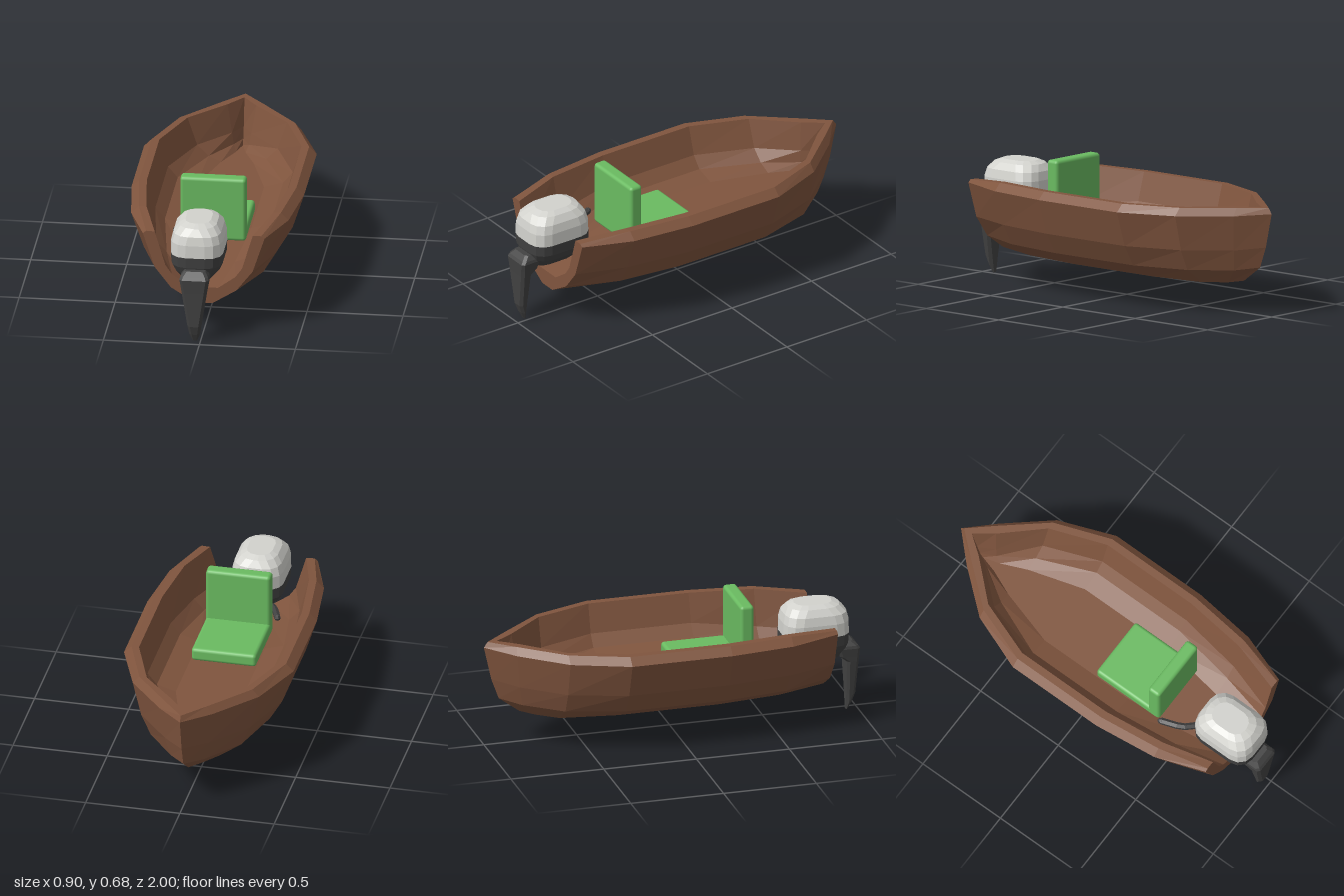
import * as THREE from 'three';
import { RoundedBoxGeometry } from 'three/addons/geometries/RoundedBoxGeometry.js';

const V = (x, y, z) => new THREE.Vector3(x, y, z);

function material(name, color) {
  const m = new THREE.MeshStandardMaterial({ color });
  m.name = name;
  return m;
}

// Faceted skin over closed rings, each counterclockwise seen from the first ring's end
function loft(rings, caps) {
  const pos = [];
  const tri = (...p) => p.forEach(v => pos.push(v.x, v.y, v.z));
  const n = rings[0].length;
  for (let i = 0; i < rings.length - 1; i++) {
    const a = rings[i], b = rings[i + 1];
    for (let j = 0; j < n; j++) {
      const k = (j + 1) % n;
      tri(b[j], b[k], a[j]);
      tri(b[k], a[k], a[j]);
    }
  }
  if (caps) {
    const centre = r => r.reduce((s, p) => s.add(p), V(0, 0, 0)).divideScalar(n);
    const first = rings[0], last = rings[rings.length - 1];
    const c0 = centre(first), c1 = centre(last);
    for (let j = 0; j < n; j++) {
      const k = (j + 1) % n;
      tri(c0, first[j], first[k]);
      tri(c1, last[k], last[j]);
    }
  }
  const g = new THREE.BufferGeometry();
  g.setAttribute('position', new THREE.Float32BufferAttribute(pos, 3));
  g.computeVertexNormals();
  return g;
}

// Horizontal rectangle with rounded corners of the given radius
function roundedRing(y, hx, z0, z1, radius, steps) {
  const cz = (z0 + z1) / 2, hz = (z1 - z0) / 2, r = Math.min(radius, hx * 0.9, hz * 0.9);
  const pts = [];
  [[1, 1], [1, -1], [-1, -1], [-1, 1]].forEach(([sx, sz], q) => {
    for (let i = 0; i <= steps; i++) {
      const t = (q + i / steps) * Math.PI / 2;
      pts.push(V(sx * (hx - r) + r * Math.sin(t), y, cz + sz * (hz - r) + r * Math.cos(t)));
    }
  });
  return pts;
}

export function createModel() {
  const boat = new THREE.Group();
  boat.name = 'motorBoat';
  const wood = material('brown wood', 0x80553e);
  const green = material('green seat', 0x6abb61);
  const white = material('pale cowl', 0xd2d2cd);
  const dark = material('dark metal', 0x424242);

  const add = (name, geometry, mat, parent = boat) => {
    const mesh = new THREE.Mesh(geometry, mat);
    mesh.name = name;
    parent.add(mesh);
    return mesh;
  };

  // Hull half sections: keel edge, chine, side, rim (3 points), inner side, inner chine, floor edge
  const heights = [0.157, 0.235, 0.345, 0.53, 0.57, 0.57, 0.42, 0.36, 0.33];
  const stations = [
    { z: 0.815, x: [0.045, 0.17, 0.255, 0.317, 0.30, 0.255, 0.20, 0.165, 0.075],
      y: [0.157, 0.235, 0.345, 0.533, 0.547, 0.545, 0.36, 0.31, 0.245] },
    { z: 0.55, x: [0.135, 0.28, 0.345, 0.41, 0.37, 0.33, 0.28, 0.225, 0.13],
      y: [0.157, 0.235, 0.345, 0.53, 0.57, 0.57, 0.38, 0.32, 0.282] },
    { z: 0.21, x: [0.175, 0.325, 0.39, 0.45, 0.41, 0.37, 0.325, 0.275, 0.175] },
    { z: -0.33, x: [0.175, 0.325, 0.39, 0.45, 0.41, 0.37, 0.325, 0.275, 0.175] },
    { z: -0.63, x: [0.13, 0.24, 0.29, 0.335, 0.30, 0.26, 0.21, 0.15, 0.085] },
    { z: [-0.74, -0.82, -0.84, -0.86, -0.855, -0.83, -0.81, -0.80, -0.77],
      x: [0.045, 0.09, 0.115, 0.14, 0.11, 0.075, 0.05, 0.04, 0.025] },
    { z: [-0.81, -0.92, -0.96, -1, -0.98, -0.93, -0.90, -0.88, -0.86],
      x: [0, 0, 0, 0, 0, 0, 0, 0, 0],
      y: [0.168, 0.25, 0.36, 0.54, 0.57, 0.57, 0.42, 0.36, 0.33] },
  ];
  const hullRings = stations.map(({ x, y = heights, z }) => {
    const half = x.map((px, i) => V(px, y[i], Array.isArray(z) ? z[i] : z));
    return [...half, ...half.map(p => V(-p.x, p.y, p.z)).reverse()];
  });
  add('hull', loft(hullRings, false), wood);

  // Cut end of the hull at the open stern
  const sternShape = new THREE.Shape(hullRings[0].map(p => new THREE.Vector2(p.x, p.y)));
  add('sternEdge', new THREE.ShapeGeometry(sternShape).translate(0, 0, stations[0].z), wood);

  // Seat
  const seat = new THREE.Group();
  seat.name = 'seat';
  boat.add(seat);
  add('seatCushion', new RoundedBoxGeometry(0.343, 0.07, 0.40, 2, 0.018), green, seat)
    .position.set(-0.002, 0.367, 0.20);
  add('seatBack', new RoundedBoxGeometry(0.343, 0.347, 0.073, 2, 0.018), green, seat)
    .position.set(-0.002, 0.508, 0.37);

  // Outboard motor
  const motor = new THREE.Group();
  motor.name = 'outboardMotor';
  motor.position.x = -0.03;
  boat.add(motor);
  const body = rows => loft(rows.map(([y, hx, z0, z1]) => roundedRing(y, hx, z0, z1, 0.085, 3)), true);
  add('motorCowl', body([
    [0.62, 0.067, 0.66, 0.86],
    [0.605, 0.098, 0.625, 0.90],
    [0.57, 0.124, 0.602, 0.93],
    [0.525, 0.135, 0.592, 0.94],
    [0.457, 0.136, 0.59, 0.942],
  ]), white, motor);
  add('motorBase', body([
    [0.457, 0.136, 0.59, 0.942],
    [0.40, 0.133, 0.588, 0.938],
    [0.36, 0.115, 0.61, 0.925],
    [0.315, 0.075, 0.66, 0.905],
  ]), dark, motor);

  // Tapered drive leg
  const legRows = [
    [0.393, 0.055, 0.87, 0.965],
    [0.37, 0.072, 0.87, 0.99],
    [0.355, 0.076, 0.88, 1],
    [0.31, 0.069, 0.895, 0.997],
    [0.28, 0.065, 0.932, 0.995],
    [0.09, 0.036, 0.937, 0.985],
    [0.04, 0.028, 0.937, 0.967],
    [0, 0.012, 0.937, 0.947],
  ];
  add('driveLeg', loft(legRows.map(r => roundedRing(...r, 0.014, 1)), true), dark, motor);

  // Steering handle
  const handlePath = new THREE.CatmullRomCurve3([
    V(-0.01, 0.375, 0.63), V(-0.07, 0.38, 0.585), V(-0.115, 0.387, 0.54), V(-0.16, 0.395, 0.43)]);
  const handle = new THREE.TubeGeometry(handlePath, 6, 0.018, 6, false).toNonIndexed();
  handle.computeVertexNormals();
  add('steeringHandle', handle, dark, motor);
  const end = new THREE.SphereGeometry(0.018, 6, 4).toNonIndexed();
  end.computeVertexNormals();
  add('handleEnd', end, dark, motor).position.set(-0.16, 0.395, 0.43);

  return boat;
}
